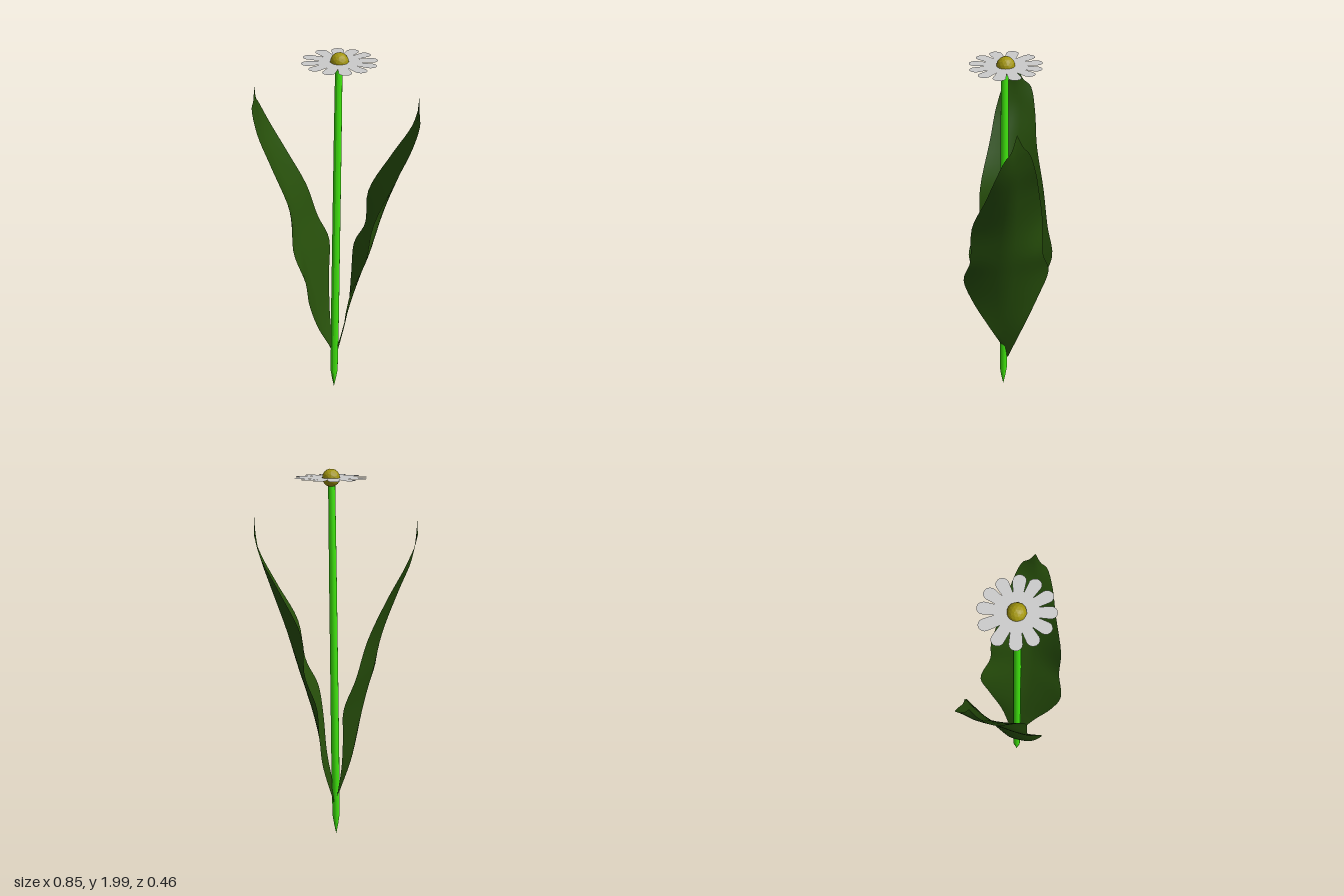
import * as THREE from 'three';

const mat = (color, opts = {}) => new THREE.MeshStandardMaterial({ color, ...opts });
const V = (p) => new THREE.Vector3(...p);

function add(parent, name, geometry, material) {
  const mesh = new THREE.Mesh(geometry, material);
  mesh.name = name;
  parent.add(mesh);
  return mesh;
}

// Leaf blade: three long splines (back edge, rib, front edge) joined by softly creased cross-sections
function leafGeometry(back, rib, front, rows = 44, cols = 10) {
  const curves = [back, rib, front].map((pts) => new THREE.CatmullRomCurve3(pts.map(V), false, 'centripetal'));
  const pos = [], index = [];
  for (let i = 0; i <= rows; i++) {
    const [b, r, f] = curves.map((c) => c.getPoint(i / rows));
    for (let j = 0; j <= cols; j++) {
      // Halfway between a parabola and a straight fold at the rib
      const u = (j / cols) * 2 - 1;
      const p = new THREE.Vector3()
        .addScaledVector(b, (u * (u - 1)) / 4 + Math.max(0, -u) / 2)
        .addScaledVector(r, 1 - (u * u + Math.abs(u)) / 2)
        .addScaledVector(f, (u * (u + 1)) / 4 + Math.max(0, u) / 2);
      pos.push(p.x, p.y, p.z);
      if (i < rows && j < cols) {
        const a = i * (cols + 1) + j, c = a + cols + 1;
        index.push(a, c, a + 1, a + 1, c, c + 1);
      }
    }
  }
  const g = new THREE.BufferGeometry();
  g.setAttribute('position', new THREE.Float32BufferAttribute(pos, 3));
  g.setIndex(index);
  g.computeVertexNormals();
  return g;
}

// Daisy outline: round-ended petals at given angles (degrees) with narrow notches between them
function petalShape(angles, outer, notch, half) {
  const shape = new THREE.Shape();
  const at = (a, along, side) => [
    Math.cos(a) * along - Math.sin(a) * side,
    Math.sin(a) * along + Math.cos(a) * side,
  ];
  angles.forEach((deg, i) => {
    const a = THREE.MathUtils.degToRad(deg);
    const previous = i === 0 ? angles[angles.length - 1] - 360 : angles[i - 1];
    const start = at(THREE.MathUtils.degToRad((deg + previous) / 2), notch, 0);
    if (i === 0) shape.moveTo(...start);
    else shape.lineTo(...start);
    const length = outer + 0.004 * Math.cos(2 * a);
    for (let k = 0; k <= 8; k++) {
      const t = -Math.PI / 2 + (k / 8) * Math.PI;
      shape.lineTo(...at(a, length - half + Math.cos(t) * half, Math.sin(t) * half));
    }
  });
  shape.closePath();
  return shape;
}

export function createModel() {
  const plant = new THREE.Group();
  plant.name = 'daisyPlant';
  const leafMat = mat(0x274f0b, { side: THREE.DoubleSide });

  // Stem with a pointed foot, leaning slightly toward the flower
  const profile = [[0, 0.005], [0.011, 0.06], [0.02, 0.12], [0.022, 0.5], [0.021, 1], [0.02, 1.5], [0.018, 1.95], [0, 1.95]];
  const stem = new THREE.LatheGeometry(profile.map((p) => new THREE.Vector2(...p)), 12);
  const sp = stem.attributes.position;
  for (let i = 0; i < sp.count; i++) {
    const t = sp.getY(i) / 1.95;
    sp.setX(i, sp.getX(i) + 0.011 + 0.019 * t);
    sp.setZ(i, sp.getZ(i) + 0.022 - 0.016 * t);
  }
  stem.computeVertexNormals();
  add(plant, 'stem', stem, mat(0x40e80e));

  // Leaf on the model's left (+x)
  add(plant, 'leftLeaf', leafGeometry(
    [[0.015, 0.2, -0.005], [0.045, 0.45, -0.1], [0.035, 0.65, -0.175], [0.03, 0.82, -0.228], [0.1, 0.97, -0.208],
      [0.115, 1.17, -0.206], [0.235, 1.4, -0.207], [0.34, 1.58, -0.205], [0.375, 1.68, -0.183], [0.384, 1.71, -0.158], [0.396, 1.775, -0.131]],
    [[0.022, 0.24, 0.012], [0.068, 0.45, 0.012], [0.115, 0.65, -0.006], [0.162, 0.82, -0.023], [0.205, 0.97, -0.04],
      [0.257, 1.17, -0.065], [0.33, 1.4, -0.095], [0.376, 1.55, -0.112], [0.392, 1.65, -0.121], [0.396, 1.71, -0.126], [0.397, 1.775, -0.13]],
    [[0.025, 0.28, 0.022], [0.087, 0.45, 0.085], [0.138, 0.65, 0.165], [0.178, 0.8, 0.196], [0.23, 0.95, 0.145],
      [0.264, 1.17, 0.125], [0.342, 1.38, 0.035], [0.402, 1.54, -0.03], [0.422, 1.65, -0.078], [0.41, 1.69, -0.105], [0.398, 1.775, -0.129]],
  ), leafMat);

  // Leaf on the model's right (-x)
  add(plant, 'rightLeaf', leafGeometry(
    [[0, 0.24, 0.005], [-0.055, 0.45, -0.08], [-0.09, 0.65, -0.16], [-0.115, 0.82, -0.222], [-0.165, 0.97, -0.185],
      [-0.215, 1.17, -0.15], [-0.3, 1.38, -0.095], [-0.38, 1.54, -0.068], [-0.424, 1.66, -0.035], [-0.418, 1.7, 0.005], [-0.41, 1.77, 0.034]],
    [[-0.005, 0.25, 0.02], [-0.072, 0.45, 0.022], [-0.114, 0.65, 0.022], [-0.152, 0.82, 0.023], [-0.192, 0.97, 0.025],
      [-0.238, 1.17, 0.027], [-0.322, 1.4, 0.03], [-0.383, 1.55, 0.03], [-0.402, 1.65, 0.033], [-0.407, 1.71, 0.034], [-0.41, 1.77, 0.035]],
    [[0, 0.27, 0.03], [-0.045, 0.45, 0.11], [-0.065, 0.65, 0.185], [-0.065, 0.81, 0.228], [-0.145, 0.95, 0.192],
      [-0.16, 1.17, 0.182], [-0.275, 1.4, 0.152], [-0.355, 1.56, 0.134], [-0.398, 1.68, 0.098], [-0.404, 1.705, 0.066], [-0.41, 1.77, 0.036]],
  ), leafMat);

  // Flower head: flat ring of petals and a ball-shaped centre
  const flower = new THREE.Group();
  flower.name = 'flower';
  flower.position.set(0.031, 1.955, 0.001);
  plant.add(flower);
  const angles = [1, 28, 58, 86, 115, 146, 180, 211, 241, 272, 302, 332];
  const petals = new THREE.ShapeGeometry(petalShape(angles, 0.183, 0.1, 0.031));
  petals.rotateX(-Math.PI / 2);
  add(flower, 'petals', petals, mat(0xe4e4e4, { side: THREE.DoubleSide }));
  add(flower, 'flowerCentre', new THREE.IcosahedronGeometry(0.045, 2), mat(0xa3960f, { flatShading: true }));

  return plant;
}
